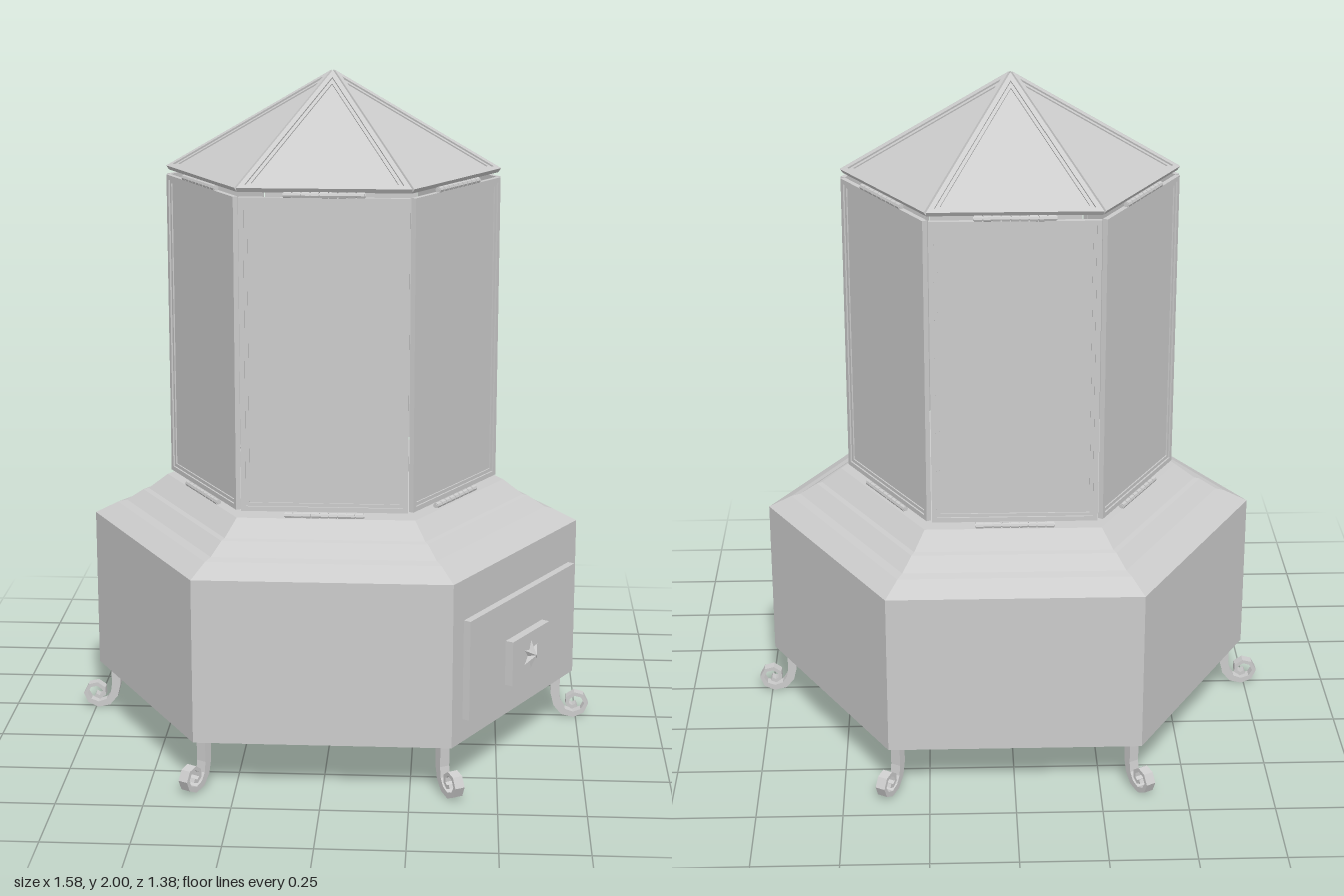
import * as THREE from 'three';

const grey = new THREE.MeshStandardMaterial({ color: 0xcccccc, flatShading: true, side: THREE.DoubleSide });

function add(parent, geometry, name, x = 0, y = 0, z = 0) {
  const mesh = new THREE.Mesh(geometry, grey);
  mesh.name = name;
  mesh.position.set(x, y, z);
  parent.add(mesh);
  return mesh;
}

// Moves every edge of a counter-clockwise convex polygon inward by d
function inset(pts, d) {
  const n = pts.length;
  const normal = (a, b) => new THREE.Vector2(a.y - b.y, b.x - a.x).normalize();
  return pts.map((p, i) => {
    const n1 = normal(pts[(i + n - 1) % n], p);
    const n2 = normal(p, pts[(i + 1) % n]);
    return p.clone().addScaledVector(n1.clone().add(n2), d / (1 + n1.dot(n2)));
  });
}

// Polygon slab from z to z + depth, with an optional opening
function slab(pts, depth, z, hole) {
  const shape = new THREE.Shape(pts);
  if (hole) shape.holes.push(new THREE.Path(hole));
  return new THREE.ExtrudeGeometry(shape, { depth, bevelEnabled: false }).translate(0, 0, z);
}

// Framed pane: raised frame, stepped bead and recessed sheet, outer face on z = 0
function framedPane(pts, name) {
  const g = new THREE.Group();
  g.name = name;
  const a = inset(pts, 0.014), b = inset(pts, 0.024);
  add(g, slab(pts, 0.015, -0.015, a), 'frame');
  add(g, slab(a, 0.01, -0.015, b), 'bead');
  add(g, slab(b, 0.005, -0.014), 'pane');
  return g;
}

// Row of knuckles around a pin
function hinge(parent, y, z) {
  const g = new THREE.Group();
  g.name = 'hinge';
  g.position.set(0, y, z);
  add(g, new THREE.CylinderGeometry(0.006, 0.006, 0.23, 8).rotateZ(Math.PI / 2), 'hingePin');
  for (let i = 0; i < 9; i++) {
    add(g, new THREE.CylinderGeometry(0.009, 0.009, 0.022, 8).rotateZ(Math.PI / 2), 'knuckle', (i - 4) * 0.0255);
  }
  parent.add(g);
}

// Tapering strip that curls into a scroll, in the radial plane
function legGeometry() {
  const path = [
    [0.685, 0.16], [0.685, 0.08], [0.692, 0.045], [0.711, 0.02], [0.742, 0.011], [0.77, 0.023], [0.782, 0.048],
    [0.769, 0.072], [0.745, 0.078], [0.725, 0.064], [0.724, 0.045], [0.738, 0.035], [0.752, 0.042],
  ].map(([x, y]) => new THREE.Vector2(x, y));
  const left = [], right = [];
  path.forEach((p, i) => {
    const t = path[Math.min(i + 1, path.length - 1)].clone().sub(path[Math.max(i - 1, 0)]).normalize();
    const half = 0.015 - 0.009 * Math.min(1, i / 6);
    left.push(new THREE.Vector2(p.x - t.y * half, p.y + t.x * half));
    right.unshift(new THREE.Vector2(p.x + t.y * half, p.y - t.x * half));
  });
  return slab([...left, ...right], 0.03, -0.015);
}

export function createModel() {
  const model = new THREE.Group();
  model.name = 'hexagonalLantern';

  // Hexagonal base with a stepped shoulder
  const profile = [
    [0, 0.15], [0.737, 0.15], [0.737, 0.637], [0.667, 0.672], [0.64, 0.679],
    [0.588, 0.713], [0.572, 0.717], [0.512, 0.763], [0, 0.763],
  ].map(([x, y]) => new THREE.Vector2(x, y));
  add(model, new THREE.LatheGeometry(profile, 6, Math.PI / 2), 'base');

  // Scroll legs at the six corners
  const leg = legGeometry();
  for (let k = 0; k < 6; k++) add(model, leg, 'scrollLeg').rotation.y = k * Math.PI / 3;

  // Six wall panels and six roof panels
  const tower = new THREE.Group();
  tower.name = 'tower';
  tower.position.x = -0.005;
  model.add(tower);
  const apothem = 0.432, rise = 0.29, slope = Math.hypot(apothem, rise);
  const wall = [[-0.239, 0.78], [0.239, 0.78], [0.239, 1.687], [-0.239, 1.687]].map(p => new THREE.Vector2(...p));
  const roof = inset([[-0.249, 0], [0.249, 0], [0, slope]].map(p => new THREE.Vector2(...p)), 0.003);
  for (let k = 0; k < 6; k++) {
    const side = new THREE.Group();
    side.name = 'towerSide';
    side.rotation.y = k * Math.PI / 3;
    const wallPanel = framedPane(wall, 'wallPanel');
    wallPanel.position.z = apothem;
    const roofPanel = framedPane(roof, 'roofPanel');
    roofPanel.position.set(0, 1.711, apothem);
    roofPanel.rotation.x = -Math.atan2(apothem, rise);
    side.add(wallPanel, roofPanel);
    hinge(side, 0.769, apothem);
    hinge(side, 1.694, apothem - 0.004);
    tower.add(side);
  }

  // Drawer front with a small raised plate and a faceted star
  const door = new THREE.Group();
  door.name = 'door';
  door.rotation.y = Math.PI / 3;
  model.add(door);
  add(door, new THREE.BoxGeometry(0.63, 0.297, 0.03), 'doorPanel', 0.006, 0.367, 0.645);
  add(door, new THREE.BoxGeometry(0.22, 0.135, 0.03), 'doorPlate', 0.008, 0.328, 0.67);
  const star = new THREE.ConeGeometry(0.046, 0.02, 12).rotateX(Math.PI / 2);
  const pos = star.attributes.position;
  for (let i = 0; i < pos.count; i++) {
    const step = Math.round(Math.atan2(pos.getX(i), pos.getY(i)) / (Math.PI / 6));
    if (step % 2) pos.setXY(i, pos.getX(i) * 0.45, pos.getY(i) * 0.45);
  }
  add(door, star, 'starKnob', 0.008, 0.326, 0.694);

  return model;
}
